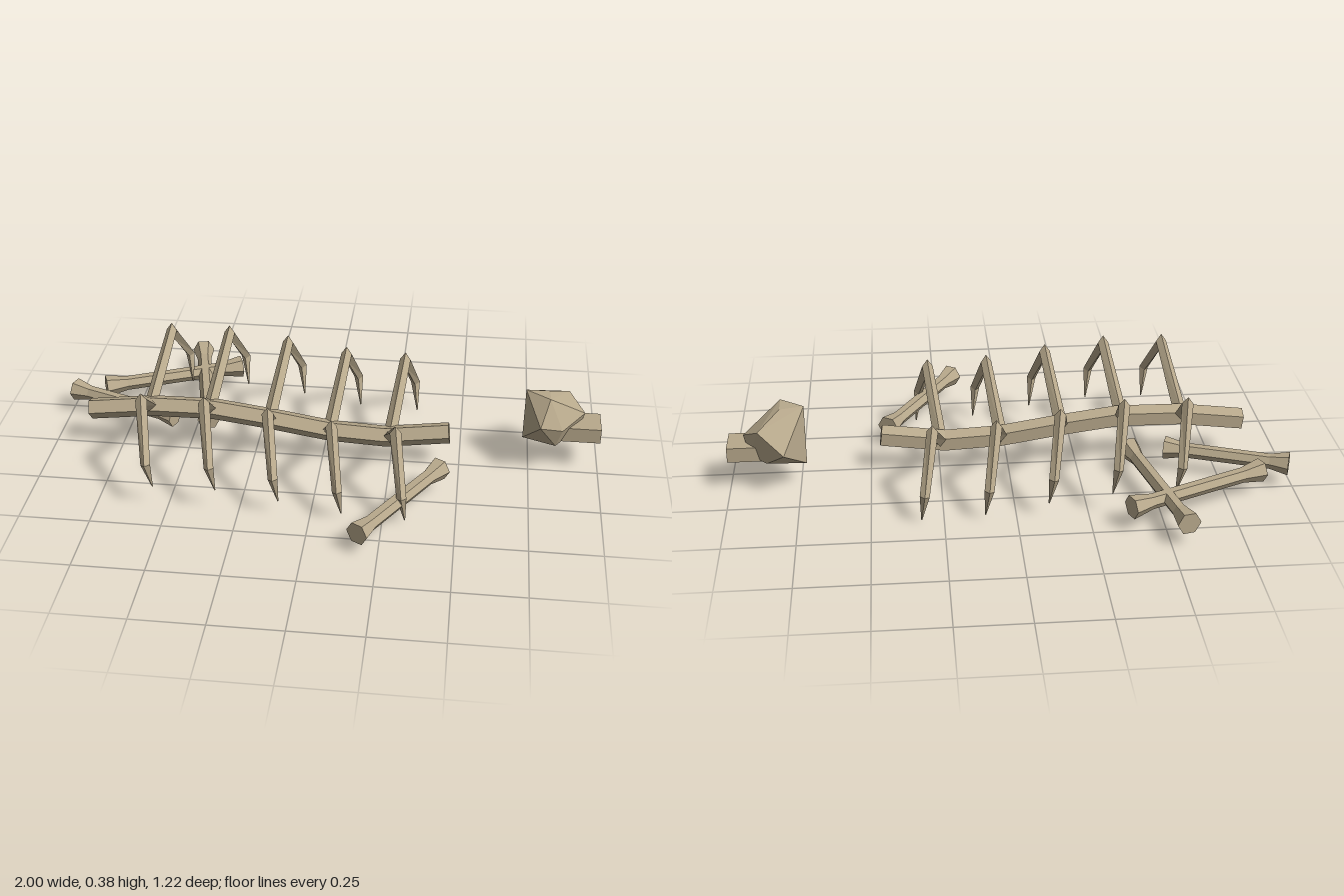
import * as THREE from 'three';
import { ConvexGeometry } from 'three/addons/geometries/ConvexGeometry.js';

const V = (x, y, z) => new THREE.Vector3(x, y, z);

// Faceted, capped tube through points; ref is a direction across the path, joints are mitred
function loft(points, radii, sides, ref) {
  const pos = [], idx = [], n = points.length;
  points.forEach((p, i) => {
    const a = points[Math.max(i - 1, 0)], b = points[Math.min(i + 1, n - 1)];
    const dIn = i > 0 ? p.clone().sub(a).normalize() : b.clone().sub(p).normalize();
    const dOut = i < n - 1 ? b.clone().sub(p).normalize() : dIn;
    const t = dIn.clone().add(dOut).normalize();
    const u = ref.clone().addScaledVector(t, -ref.dot(t)).normalize();
    const v = t.clone().cross(u).multiplyScalar(1 / t.dot(dIn));
    for (let j = 0; j < sides; j++) {
      const ang = (j / sides) * Math.PI * 2;
      const q = p.clone().addScaledVector(u, Math.cos(ang) * radii[i]).addScaledVector(v, Math.sin(ang) * radii[i]);
      pos.push(q.x, q.y, q.z);
    }
  });
  for (let i = 0; i < n - 1; i++) {
    for (let j = 0; j < sides; j++) {
      const k = (j + 1) % sides;
      const a = i * sides + j, b = i * sides + k, c = a + sides, d = b + sides;
      idx.push(a, b, c, b, d, c);
    }
  }
  const last = (n - 1) * sides;
  for (let j = 1; j < sides - 1; j++) {
    idx.push(0, j + 1, j, last, last + j, last + j + 1);
  }
  const g = new THREE.BufferGeometry();
  g.setAttribute('position', new THREE.Float32BufferAttribute(pos, 3));
  g.setIndex(idx);
  const flat = g.toNonIndexed();
  flat.computeVertexNormals();
  return flat;
}

export function createModel() {
  const root = new THREE.Group();
  root.name = 'skeletonRemains';
  const bone = new THREE.MeshStandardMaterial({ color: 0xb8a98c });
  bone.name = 'old bone';
  const add = (name, geometry, parent = root) => {
    const m = new THREE.Mesh(geometry, bone);
    m.name = name;
    parent.add(m);
    return m;
  };

  // Spine: gently waving five-sided beam
  const spine = [[-0.86, 0.15], [-0.63, 0.178], [-0.4, 0.18], [-0.19, 0.152], [0.03, 0.117], [0.23, 0.107], [0.46, 0.138]]
    .map(([x, y]) => V(x, y, 0));
  add('spine', loft(spine, spine.map(() => 0.04), 5, V(0, 0, 1)));

  // Ribs: five mirrored pairs, arched up, bent down and tapering to a point
  const ribs = new THREE.Group();
  ribs.name = 'ribs';
  root.add(ribs);
  [0.178, 0.18, 0.152, 0.117, 0.107].forEach((y, i) => {
    const x = -0.635 + i * 0.22;
    for (const s of [1, -1]) {
      const path = [V(x, y, 0), V(x + 0.035, y + 0.178, s * 0.26), V(x + 0.07, y + 0.004, s * 0.4), V(x + 0.082, y - 0.104, s * 0.37)];
      add(s > 0 ? 'frontRib' : 'backRib', loft(path, [0.024, 0.02, 0.017, 0.002], 4, V(1, 0, 0)), ribs);
    }
  });

  // Loose limb bones: six-sided shafts with flared ends
  const limbs = [
    [0.18, 0.585, 0.435, 0.16],
    [-0.985, -0.235, -0.565, -0.08],
    [-0.875, -0.27, -0.38, -0.485],
    [-0.555, -0.605, -0.435, -0.07],
  ];
  for (const [x0, z0, x1, z1] of limbs) {
    const a = V(x0, 0.087, z0), b = V(x1, 0.087, z1);
    const path = [0, 0.15, 0.85, 1].map((t) => a.clone().lerp(b, t));
    const across = b.clone().sub(a).cross(V(0, 1, 0)).normalize();
    add('limbBone', loft(path, [0.042, 0.027, 0.027, 0.042], 6, across));
  }

  // Skull: rough faceted lump
  const skull = [
    V(0.725, 0.3, -0.06), V(0.725, 0.085, -0.085), V(0.81, 0.3, 0), V(0.81, 0.295, -0.07),
    V(0.795, 0.18, -0.207), V(0.885, 0.25, -0.155), V(0.942, 0.205, -0.08), V(0.922, 0.13, -0.095),
    V(0.78, 0.215, 0.064), V(0.86, 0.19, 0.03), V(0.84, 0.115, 0.01), V(0.86, 0.125, -0.15),
  ];
  add('skull', new ConvexGeometry(skull));

  // Snout block
  const snout = add('snout', new THREE.BoxGeometry(0.14, 0.055, 0.115));
  snout.position.set(0.93, 0.15, -0.07);

  return root;
}
